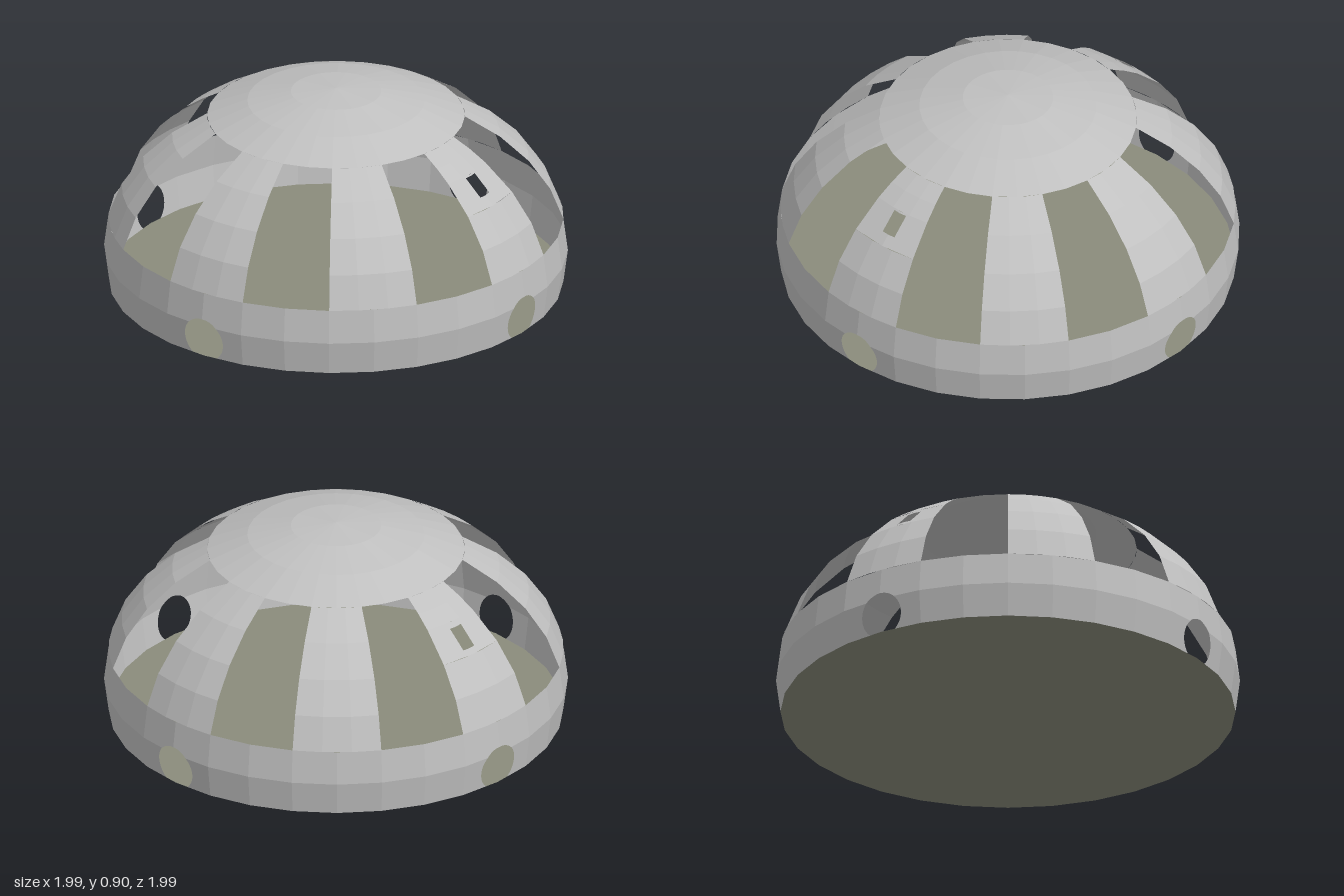
import * as THREE from 'three';

const STEP = Math.PI / 16;               // one facet: 11.25 degrees
const H = 0.755;                         // dome squash
const Y0 = H * Math.sin(STEP);           // height of the widest ring
const ringR = (k) => Math.cos(k * STEP); // ring k counted up from the widest one
const ringY = (k) => Y0 + H * Math.sin(k * STEP);

export function createModel() {
  const model = new THREE.Group();
  model.name = 'dome';
  const shell = new THREE.MeshStandardMaterial({ color: 0xc0c0c0, flatShading: true, side: THREE.DoubleSide });
  shell.name = 'shellGrey';
  const floorMat = new THREE.MeshStandardMaterial({ color: 0x8a8c7c, side: THREE.DoubleSide });
  floorMat.name = 'floorOlive';

  const add = (parent, name, geometry, material = shell) => {
    const mesh = new THREE.Mesh(geometry, material);
    mesh.name = name;
    parent.add(mesh);
    return mesh;
  };

  // Faceted piece of the dome, centred on +z; row is counted down from the top
  const patch = (parent, name, segs, row, rows) => {
    const g = new THREE.SphereGeometry(1, segs, rows,
      Math.PI / 2 - segs * STEP / 2, segs * STEP, row * STEP, rows * STEP);
    g.scale(1, H, 1).translate(0, Y0, 0);
    return add(parent, name, g);
  };

  // Flat facet beside the centre line with a cut outline, laid on ring band k
  const facet = (parent, name, k, points) => {
    for (const side of [1, -1]) {
      const g = new THREE.ShapeGeometry(
        new THREE.Shape(points.map(([x, y]) => new THREE.Vector2(side * x, y))));
      const p = g.attributes.position;
      for (let i = 0; i < p.count; i++) {
        const t = (p.getY(i) - ringY(k)) / (ringY(k + 1) - ringY(k));
        const r = THREE.MathUtils.lerp(ringR(k), ringR(k + 1), t);
        p.setZ(i, r - Math.abs(p.getX(i)) * Math.tan(STEP / 2));
      }
      g.computeVertexNormals();
      add(parent, name, g);
    }
  };
  const corner = (k) => [ringR(k) * Math.sin(STEP), ringY(k)];

  // Round opening at the foot of the wall, cut off by the floor
  const cy = 0.077, cr = 0.1;
  const arc = (a0, a1, n) => Array.from({ length: n + 1 }, (_, i) => {
    const a = a0 + (a1 - a0) * i / n;
    return [cr * Math.cos(a), cy + cr * Math.sin(a)];
  });
  const low = Math.asin(-cy / cr), mid = Math.asin((Y0 - cy) / cr);

  // Closed top and floor
  patch(model, 'crown', 32, 0, 3);
  const floor = add(model, 'floor', new THREE.CircleGeometry(ringR(1), 32), floorMat);
  floor.rotation.x = -Math.PI / 2;

  // Four quarters of the base wall, each with a round opening
  for (let q = 0; q < 4; q++) {
    const wall = new THREE.Group();
    wall.name = 'baseWall';
    wall.rotation.y = q * Math.PI / 2;
    patch(wall, 'wallPanel', 6, 7, 2).rotation.y = Math.PI / 4;
    facet(wall, 'lowerOpeningPanel', -1, [corner(-1), corner(0), ...arc(mid, low, 16)]);
    facet(wall, 'upperOpeningPanel', 0,
      [corner(0), corner(1), [0, ringY(1)], ...arc(Math.PI / 2, mid, 8)]);
    model.add(wall);
  }

  // Eight ribs between the windows; front and back have a small slot
  for (let i = 0; i < 8; i++) {
    const rib = new THREE.Group();
    rib.name = 'rib';
    rib.rotation.y = i * Math.PI / 4;
    if (i % 4) {
      patch(rib, 'ribPanel', 2, 3, 4);
    } else {
      const [b, t] = i ? [0.587, 0.662] : [0.604, 0.675];
      patch(rib, 'ribTop', 2, 3, 1);
      patch(rib, 'ribFoot', 2, 5, 2);
      facet(rib, 'slotPanel', 3, [[0, ringY(3)], corner(3), corner(4), [0, ringY(4)],
        [0, t], [0.033, t], [0.033, b], [0, b]]);
    }
    model.add(rib);
  }
  return model;
}
